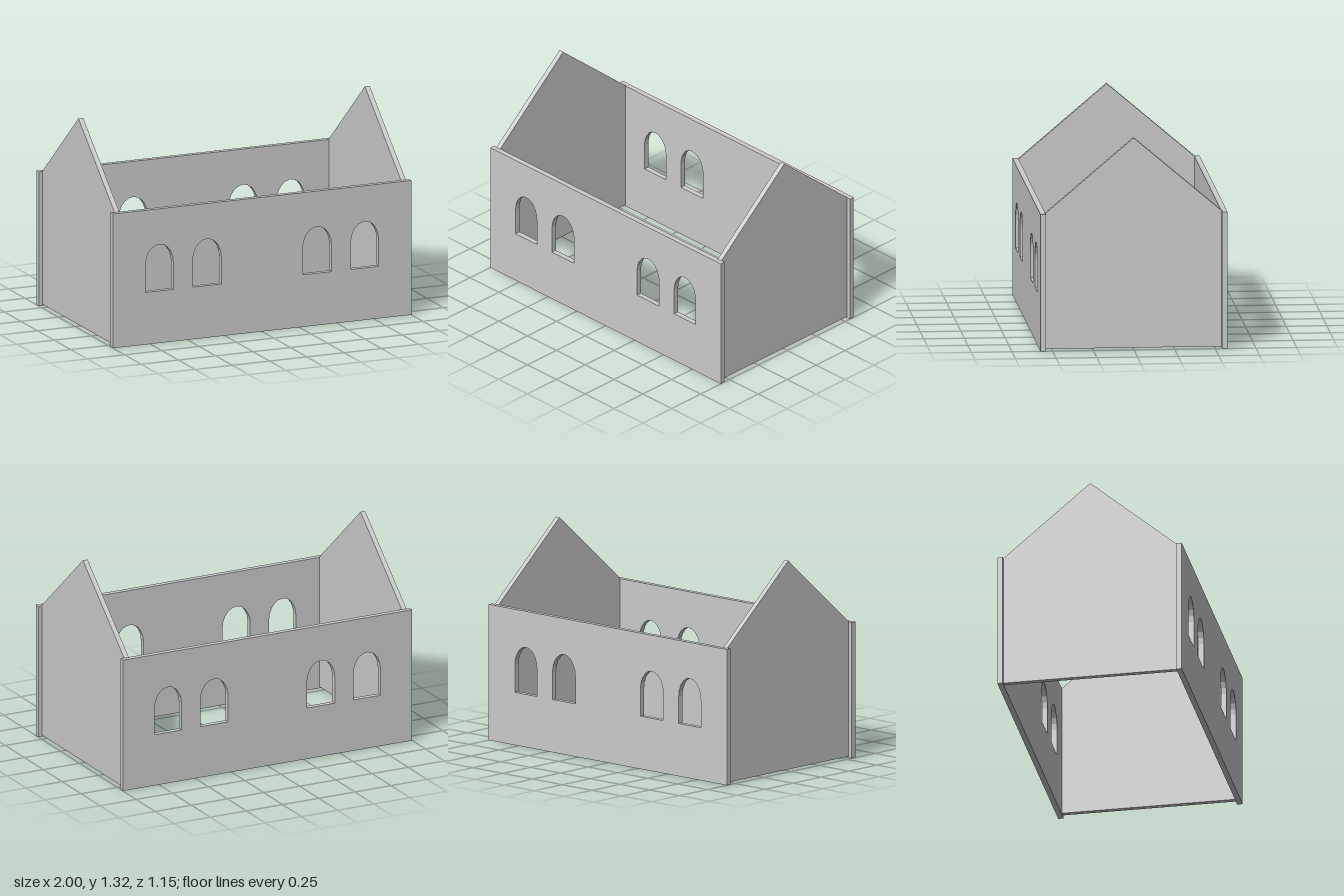
import * as THREE from 'three';

const material = new THREE.MeshStandardMaterial({ color: 0xcccccc, flatShading: true });

// Round-headed window opening, with a slightly raised elliptical arch
function windowHole(cx, halfWidth) {
  const sill = 0.33, spring = 0.5, rise = 0.125, segments = 10;
  const points = [new THREE.Vector2(cx - halfWidth, sill), new THREE.Vector2(cx + halfWidth, sill)];
  for (let i = 0; i <= segments; i++) {
    const a = (Math.PI * i) / segments;
    points.push(new THREE.Vector2(cx + halfWidth * Math.cos(a), spring + rise * Math.sin(a)));
  }
  return new THREE.Path(points);
}

// Extruded slab centred on its thickness
function slab(shape, thickness, name) {
  const geometry = new THREE.ExtrudeGeometry(shape, { depth: thickness, bevelEnabled: false });
  geometry.translate(0, 0, -thickness / 2);
  const mesh = new THREE.Mesh(geometry, material);
  mesh.name = name;
  return mesh;
}

const outline = (pts) => new THREE.Shape(pts.map(([x, y]) => new THREE.Vector2(x, y)));

export function createModel() {
  const house = new THREE.Group();
  house.name = 'houseWalls';

  // Long walls, each with two pairs of arched windows
  const wallShape = outline([[-1, 0], [1, 0], [1, 0.85], [-1, 0.85]]);
  for (const side of [-1, 1]) {
    wallShape.holes.push(windowHole(side * 0.688, 0.093), windowHole(side * 0.369, 0.096));
  }

  // Gable walls, set in from the ends and raised a little off the ground
  const gableShape = outline([[-0.546, 0.01], [0.546, 0.01], [0.546, 0.85], [0, 1.315], [-0.546, 0.85]]);

  for (const side of [-1, 1]) {
    const wall = slab(wallShape, 0.034, side > 0 ? 'frontWall' : 'backWall');
    wall.position.z = side * 0.558;

    const gable = slab(gableShape, 0.032, side > 0 ? 'leftGableWall' : 'rightGableWall');
    gable.rotation.y = Math.PI / 2;
    gable.position.x = side * 0.96;

    house.add(wall, gable);
  }
  return house;
}
